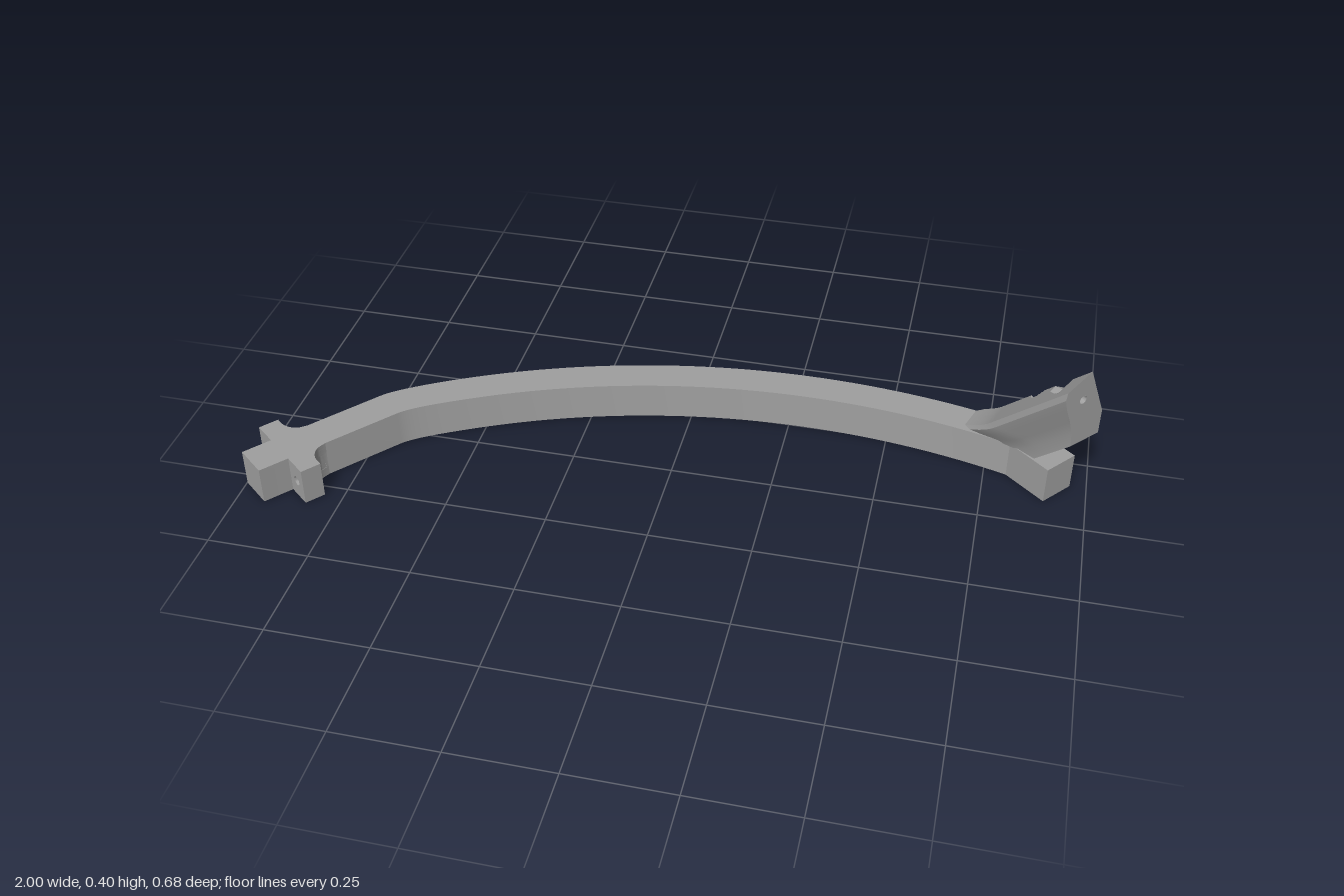
import * as THREE from 'three';
import { toCreasedNormals } from 'three/addons/utils/BufferGeometryUtils.js';

const H = 0.095;                                  // bar height
const CX = 0.28, CZ = 1.51, R_OUT = 1.85, R_IN = 1.76;
const arcZ = (x, r) => CZ - Math.sqrt(r * r - (x - CX) ** 2);

// Points of the bow's arc between two x values
function arcPoints(x0, x1, r, n = 36) {
  const pts = [];
  for (let i = 0; i <= n; i++) {
    const x = x0 + (x1 - x0) * i / n;
    pts.push([x, arcZ(x, r)]);
  }
  return pts;
}

// Quadratic bend between two plan points
function bend(a, c, b) {
  return new THREE.QuadraticBezierCurve(new THREE.Vector2(...a), new THREE.Vector2(...c), new THREE.Vector2(...b))
    .getPoints(8).map(p => [p.x, p.y]);
}

// Extrudes a plan outline [x, z] upwards from y0 to y1
function planExtrude(pts, y0, y1) {
  const shape = new THREE.Shape(pts.map(([x, z]) => new THREE.Vector2(x, -z)));
  const g = new THREE.ExtrudeGeometry(shape, { depth: y1 - y0, bevelEnabled: false });
  g.rotateX(-Math.PI / 2);
  g.translate(0, y0, 0);
  return toCreasedNormals(g, 0.4);
}

// Frame of the cross-shaped end: a across the bar, b along it
const O = [-0.915, 0.25], N = [0.77, 0.64], V = [-0.64, 0.77];
const cross = (a, b) => [O[0] + a * N[0] + b * V[0], O[1] + a * N[1] + b * V[1]];

// Frame of the raised arm: p is z on the end face, t runs back from that face
function armPoint(p, y, t) {
  const x = 0.94 + 0.87 * (-0.06 - p) - 0.755 * t;
  return [x, y, Math.max(p - 0.656 * t, arcZ(x, R_OUT))];
}

// Grid surface from rows of points
function gridSurface(rows) {
  const w = rows[0].length, index = [];
  for (let i = 0; i < rows.length - 1; i++) {
    for (let j = 0; j < w - 1; j++) {
      const a = i * w + j, b = a + 1, c = a + w, d = c + 1;
      index.push(a, c, b, b, c, d);
    }
  }
  const g = new THREE.BufferGeometry();
  g.setAttribute('position', new THREE.Float32BufferAttribute(rows.flat(2), 3));
  g.setIndex(index);
  return toCreasedNormals(g, 0.5);
}

// Flat face with an elliptical hole, mapped into space
function holedFace(pts, hole, map) {
  const shape = new THREE.Shape(pts.map(p => new THREE.Vector2(...p)));
  shape.holes.push(new THREE.Path().absellipse(hole.x, hole.y, hole.rx, hole.ry, 0, Math.PI * 2, true));
  const g = new THREE.ShapeGeometry(shape, 24), pos = g.attributes.position;
  for (let i = 0; i < pos.count; i++) pos.setXYZ(i, ...map(pos.getX(i), pos.getY(i), 0));
  g.computeVertexNormals();
  return g;
}

// Wall of the hole in such a face
function holeWall(hole, map, depth) {
  return gridSurface([0, depth].map(k => Array.from({ length: 25 }, (_, i) => {
    const q = i / 24 * Math.PI * 2;
    return map(hole.x + hole.rx * Math.cos(q), hole.y + hole.ry * Math.sin(q), k);
  })));
}

export function createModel() {
  const model = new THREE.Group();
  model.name = 'curvedBracket';
  const grey = new THREE.MeshStandardMaterial({ color: 0xa0a0a0 });
  grey.name = 'grey';
  const greyTwoSided = new THREE.MeshStandardMaterial({ color: 0xa0a0a0, side: THREE.DoubleSide });
  greyTwoSided.name = 'grey';
  const add = (parent, name, geometry, material = grey) => {
    const m = new THREE.Mesh(geometry, material);
    m.name = name;
    parent.add(m);
  };

  // Curved bar with its straight ends
  const outline = [
    cross(-0.045, 0.077),
    ...bend(cross(-0.045, -0.3), [-0.73, -0.046], [-0.6, arcZ(-0.6, R_OUT)]),
    ...arcPoints(-0.58, 0.72, R_OUT),
    [0.865, -0.24], [0.96, -0.16], [0.9, -0.087],
    ...arcPoints(0.805, -0.54, R_IN),
    ...bend([-0.56, arcZ(-0.56, R_IN)], [-0.662, 0.017], cross(0.045, -0.3)),
    cross(0.045, 0.077),
  ];
  add(model, 'curvedBar', planExtrude(outline, 0, H));

  // Cross lugs with screw holes, and fillets cut by round counterbores
  const lugs = new THREE.Group();
  lugs.name = 'crossLugs';
  lugs.position.set(O[0], 0, O[1]);
  lugs.rotation.y = -Math.atan2(N[1], N[0]);
  model.add(lugs);
  const holeA = 0.078, holeY = 0.047, boreR = 0.022, slices = 24;
  for (const side of [-1, 1]) {
    const shape = new THREE.Shape([[0.04, 0], [0.11, 0], [0.11, H], [0.04, H]]
      .map(([a, y]) => new THREE.Vector2(side * a, y)));
    shape.holes.push(new THREE.Path().absarc(side * holeA, holeY, 0.012, 0, Math.PI * 2, true));
    const lug = new THREE.ExtrudeGeometry(shape, { depth: 0.052, bevelEnabled: false, curveSegments: 24 });
    lug.translate(0, 0, -0.052);
    add(lugs, 'lug', toCreasedNormals(lug, 0.5));

    for (let i = 0; i < slices; i++) {
      const y0 = H * i / slices, y1 = H * (i + 1) / slices;
      const dy = (y0 + y1) / 2 - holeY;
      const limit = Math.abs(dy) < boreR ? holeA - Math.sqrt(boreR ** 2 - dy ** 2) : 0.093;
      const pts = [[side * 0.04, -0.052], [side * 0.04, -0.1]];
      for (let k = 0; k <= 10; k++) {
        const q = Math.acos((0.093 - (0.045 + (limit - 0.045) * k / 10)) / 0.048);
        pts.push([side * (0.093 - 0.048 * Math.cos(q)), -0.1 + 0.048 * Math.sin(q)]);
      }
      if (limit < 0.09) pts.push([side * limit, -0.052]);
      add(lugs, 'lugFillet', planExtrude(pts, y0, y1));
    }
  }

  // Raised arm: end profile swept down and back at 45 degrees into the bar
  const arm = new THREE.Group();
  arm.name = 'raisedArm';
  model.add(arm);
  const profile = [[-0.13, 0.195], [-0.13, 0.26], [-0.085, 0.395], [-0.03, 0.365], [-0.027, 0.345],
    [-0.034, 0.315], [-0.047, 0.275], [-0.057, 0.235], [-0.06, 0.195]];
  const steps = [1, 26, 14, 1, 1, 1, 1, 1];
  const fine = [profile[0]];
  steps.forEach((n, i) => {
    const [a, b] = [profile[i], profile[i + 1]];
    for (let k = 1; k <= n; k++) fine.push([a[0] + (b[0] - a[0]) * k / n, a[1] + (b[1] - a[1]) * k / n]);
  });
  const endHole = { x: -0.073, y: 0.322, rx: 0.0083, ry: 0.011 };
  const underHole = { x: -0.095, y: 0.047, rx: 0.0083, ry: 0.0078 };
  const levels = 60, rows = [];
  for (let f = 0; f <= levels; f++) {
    rows.push(fine.map(([p, top]) => {
      let y = top + (0.09 - top) * f / levels;
      const flare = 0.03 * THREE.MathUtils.clamp((top - 0.2) / 0.1, 0, 1);
      let t = top - y + flare * (Math.max(0, 0.15 - y) / 0.06) ** 2;
      if (top > 0.265) {
        // Counterbores sunk into the ridge
        const d1 = Math.hypot((p - endHole.x) * 1.325, y - endHole.y);
        if (d1 < 0.026) t = Math.min(t, d1 < 0.011 ? 0.03 : 0.05);
        const d2 = Math.hypot((p - underHole.x) * 1.325, (t - y + 0.101) / Math.SQRT2);
        if (d2 < 0.025 && t + y > 0.3) {
          const cut = (t + y - 0.3) / 2;
          t -= cut;
          y -= cut;
        }
      }
      return armPoint(p, y, t);
    }));
  }
  add(arm, 'armSides', gridSurface(rows), greyTwoSided);

  // End face and sloping underside, each with a screw hole
  const endMap = (p, y, k) => armPoint(p, y, k);
  const underMap = (p, t, k) => armPoint(p, 0.195 - t + k, t + k);
  add(arm, 'armEndFace', holedFace(profile, endHole, endMap), greyTwoSided);
  add(arm, 'armEndHole', holeWall(endHole, endMap, 0.03), greyTwoSided);
  add(arm, 'armUnderside', holedFace([[-0.13, 0], [-0.06, 0], [-0.06, 0.105], [-0.13, 0.105]],
    underHole, underMap), greyTwoSided);
  add(arm, 'armUnderHole', holeWall(underHole, underMap, 0.052), greyTwoSided);

  return model;
}
